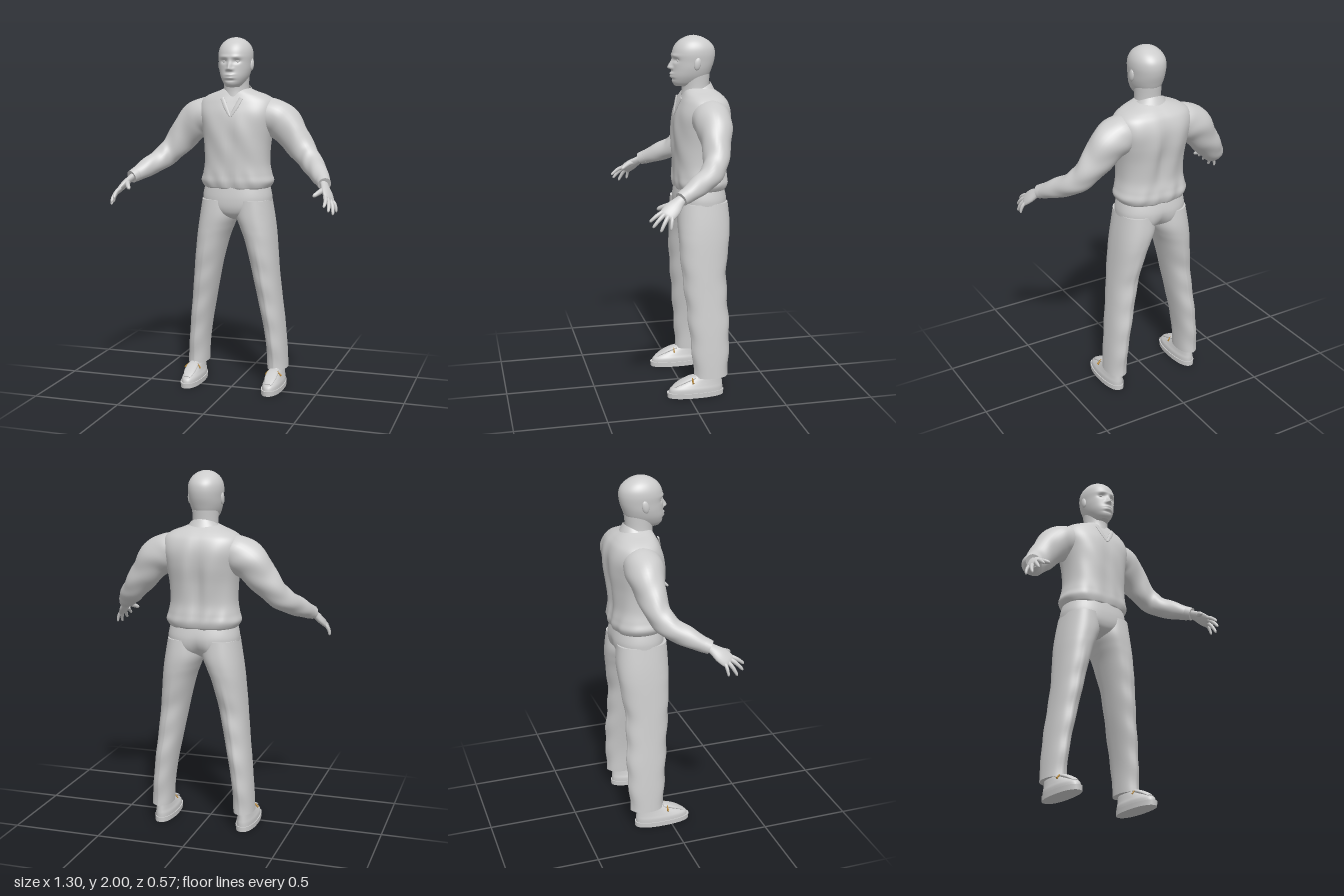
import * as THREE from 'three';

const grey = new THREE.MeshStandardMaterial({ color: 0xcccccc });
grey.name = 'plain grey';
grey.side = THREE.DoubleSide;
const gold = new THREE.MeshStandardMaterial({ color: 0xb0802a });
gold.name = 'buckle gold';

const V = (x, y, z) => new THREE.Vector3(x, y, z);
const gauss = (d, w) => Math.exp(-((d / w) ** 2));

// Smooth curve through the rows of a table, column by column
function sample(rows, t) {
  const f = t * (rows.length - 1), i = Math.min(Math.floor(f), rows.length - 2), u = f - i;
  const at = k => rows[Math.max(0, Math.min(rows.length - 1, k))];
  return rows[0].map((_, c) => {
    const [a, b, d, e] = [at(i - 1)[c], at(i)[c], at(i + 1)[c], at(i + 2)[c]];
    return b + 0.5 * u * (d - a + u * (2 * a - 5 * b + 4 * d - e + u * (3 * (b - d) + e - a)));
  });
}

// Skin over closed rings of points, with flat caps
function skin(rings) {
  const n = rings[0].length, pos = [], idx = [];
  rings.forEach(r => r.forEach(p => pos.push(p.x, p.y, p.z)));
  for (let i = 0; i < rings.length - 1; i++) for (let j = 0; j < n; j++) {
    const a = i * n + j, b = i * n + (j + 1) % n;
    idx.push(a, a + n, b, b, a + n, b + n);
  }
  [rings[0], rings[rings.length - 1]].forEach((ring, end) => {
    const s = pos.length / 3, c = V(0, 0, 0);
    ring.forEach(p => { pos.push(p.x, p.y, p.z); c.addScaledVector(p, 1 / n); });
    pos.push(c.x, c.y, c.z);
    for (let j = 0; j < n; j++) {
      const k = (j + 1) % n;
      idx.push(s + n, s + (end ? k : j), s + (end ? j : k));
    }
  });
  const g = new THREE.BufferGeometry();
  g.setAttribute('position', new THREE.Float32BufferAttribute(pos, 3));
  g.setIndex(idx);
  g.computeVertexNormals();
  return g;
}

// Upright loft, rows from bottom to top: y, x min, x max, z front, z back
function loft(rows, { p = 2.3, steps = 40, segs = 48, shape } = {}) {
  const rings = [];
  for (let i = 0; i <= steps; i++) {
    const [y, x0, x1, zf, zb] = sample(rows, i / steps), ring = [];
    for (let j = 0; j < segs; j++) {
      const a = (j / segs) * Math.PI * 2, c = Math.cos(a), s = Math.sin(a);
      const q = V((x0 + x1) / 2 + (x1 - x0) / 2 * Math.sign(c) * Math.abs(c) ** (2 / p), y,
        (zf + zb) / 2 + (zf - zb) / 2 * Math.sign(s) * Math.abs(s) ** (2 / p));
      if (shape) shape(q, s, (x0 + x1) / 2);
      ring.push(q);
    }
    rings.push(ring);
  }
  return skin(rings);
}

// Limb, rows along its path: x, y, z, radius along side, radius across
function limb(rows, side = V(0, 0, 1), steps = 24, segs = 20, fold = 0) {
  const rings = [];
  for (let i = 0; i <= steps; i++) {
    const t = i / steps, r = sample(rows, t), e = 0.01;
    const a = sample(rows, Math.max(0, t - e)), b = sample(rows, Math.min(1, t + e));
    const tan = V(b[0] - a[0], b[1] - a[1], b[2] - a[2]).normalize();
    const s = side.clone().addScaledVector(tan, -side.dot(tan)).normalize(), n = s.clone().cross(tan);
    rings.push(Array.from({ length: segs }, (_, j) => {
      const g = (j / segs) * Math.PI * 2, w = 1 + fold * Math.sin(t * 34 + 2 * Math.sin(g * 2)) * Math.sin(t * Math.PI);
      return V(r[0], r[1], r[2]).addScaledVector(s, Math.cos(g) * r[3] * w).addScaledVector(n, Math.sin(g) * r[4] * w);
    }));
  }
  return skin(rings);
}

function mirrored(geo) {
  const g = geo.clone(), ix = g.index.array;
  const p = g.attributes.position;
  for (let i = 0; i < p.count; i++) p.setX(i, -p.getX(i));
  for (let i = 0; i < ix.length; i += 3) [ix[i], ix[i + 1]] = [ix[i + 1], ix[i]];
  g.computeVertexNormals();
  return g;
}

export function createModel() {
  const model = new THREE.Group();
  const add = (name, geo, mat = grey) => {
    const m = new THREE.Mesh(geo, mat);
    m.name = name;
    model.add(m);
  };
  const pair = (name, geo, mat) => {
    add('left' + name, geo, mat);
    add('right' + name, mirrored(geo), mat);
  };
  const even = rows => rows.map(([y, w, f, b]) => [y, -w, w, f, b]);

  // Head with modelled brow, eye sockets, nose, lips and chin
  add('head', loft(even([[1.725, 0.035, 0.018, -0.1], [1.745, 0.055, 0.034, -0.14], [1.78, 0.075, 0.04, -0.168],
    [1.82, 0.087, 0.037, -0.185], [1.86, 0.092, 0.036, -0.198], [1.9, 0.095, 0.036, -0.203], [1.935, 0.09, 0.026, -0.196],
    [1.965, 0.074, 0.004, -0.172], [1.987, 0.048, -0.03, -0.136], [1.997, 0.022, -0.06, -0.105], [2, 0.002, -0.082, -0.086]]),
  { p: 2.1, steps: 84, segs: 96, shape: (q, s) => {
    if (s < 0.2) return;
    const x = Math.abs(q.x), { y } = q;
    const ridge = y > 1.826 ? gauss(y - 1.826, 0.034) : gauss(y - 1.826, 0.009);
    q.z += 0.026 * gauss(x, 0.011) * ridge + 0.009 * gauss(x - 0.015, 0.009) * gauss(y - 1.824, 0.009);
    q.z -= 0.014 * gauss(x - 0.037, 0.02) * gauss(y - 1.868, 0.012);
    q.z += 0.005 * gauss(x - 0.033, 0.03) * gauss(y - 1.892, 0.009);
    q.z += 0.011 * gauss(x, 0.024) * (gauss(y - 1.793, 0.007) + 0.9 * gauss(y - 1.777, 0.007));
    q.z -= 0.005 * gauss(x, 0.03) * gauss(y - 1.763, 0.006);
  } }));
  pair('Eye', new THREE.SphereGeometry(0.011, 16, 12).scale(1.2, 0.6, 0.7).translate(0.037, 1.867, 0.012));
  pair('Ear', new THREE.SphereGeometry(1, 16, 12).scale(0.011, 0.034, 0.02).rotateX(-0.2).translate(0.092, 1.85, -0.085));
  add('neck', loft(even([[1.58, 0.08, -0.005, -0.19], [1.66, 0.075, -0.015, -0.18], [1.72, 0.07, -0.02, -0.17],
    [1.79, 0.072, -0.01, -0.175]]), { p: 2 }));

  // Shirt body with spine groove, soft folds and a gathered hem
  add('shirtBody', loft(even([[1.155, 0.183, 0.018, -0.25], [1.165, 0.195, 0.024, -0.26], [1.195, 0.209, 0.03, -0.268],
    [1.235, 0.198, 0.03, -0.264], [1.3, 0.187, 0.03, -0.258], [1.4, 0.19, 0.034, -0.268], [1.5, 0.205, 0.034, -0.284],
    [1.58, 0.224, 0.022, -0.284], [1.64, 0.215, 0, -0.266], [1.675, 0.175, -0.016, -0.238], [1.7, 0.11, -0.028, -0.205],
    [1.715, 0.075, -0.04, -0.18]]), { p: 2.4, steps: 80, segs: 80, shape: (q, s) => {
    const mid = gauss(q.y - 1.42, 0.2), low = gauss(q.y - 1.19, 0.07);
    if (s < 0) q.z += Math.abs(s) * mid * (0.016 * gauss(q.x, 0.035) + 0.005 * Math.cos(q.x * 45 + q.y * 9));
    else q.z += s * (0.003 * mid * Math.sin(q.x * 40 + q.y * 25) - 0.006 * gauss(q.x, 0.03) * mid);
    q.z += s * low * 0.004 * Math.sin(q.x * 70 + q.y * 20);
  } }));

  // Folded collar, open at the front
  const collar = new THREE.PlaneGeometry(1, 1, 48, 6), cp = collar.attributes.position;
  for (let i = 0; i < cp.count; i++) {
    const a = cp.getX(i) * 2 * 2.78, v = 0.5 - cp.getY(i), front = (1 - Math.cos(a)) / 2;
    const tip = front ** 4, r = v < 0.2 ? 0 : (v - 0.2) / 0.8;
    cp.setXYZ(i, Math.sin(a) * (0.08 + 0.04 * r + 0.1 * tip * r),
      1.745 - 0.075 * front - (0.05 + 0.015 * front) * r,
      -0.1 - Math.cos(a) * (0.08 + 0.024 * r) + 0.008 * tip);
  }
  collar.computeVertexNormals();
  add('collar', collar);

  // Open neckline edges running down to the V
  pair('NeckPlacket', limb([[0.055, 1.665, -0.002, 0.004, 0.012], [0.03, 1.615, 0.014, 0.004, 0.012],
    [0.002, 1.565, 0.027, 0.003, 0.006]], V(0, 0.3, 1), 10, 10));

  // Sleeves and cuffs
  pair('Sleeve', limb([[0.1, 1.59, -0.13, 0.085, 0.075], [0.19, 1.565, -0.135, 0.105, 0.1], [0.265, 1.52, -0.138, 0.096, 0.103],
    [0.335, 1.435, -0.13, 0.077, 0.086], [0.4, 1.355, -0.108, 0.066, 0.071], [0.45, 1.305, -0.065, 0.06, 0.062],
    [0.5, 1.265, 0.01, 0.053, 0.054], [0.54, 1.232, 0.075, 0.042, 0.042], [0.557, 1.22, 0.105, 0.035, 0.035]],
  V(0, 0, 1), 64, 32, 0.035));
  pair('Cuff', limb([[0.543, 1.23, 0.083, 0.041, 0.041], [0.56, 1.217, 0.112, 0.038, 0.036]], V(-0.38, 0.34, 0.86), 3, 24));

  // Hands: palm, four fingers and thumb
  const across = V(-0.45, 0.45, 0.77);
  pair('Palm', limb([[0.55, 1.225, 0.095, 0.026, 0.02], [0.565, 1.205, 0.125, 0.03, 0.019], [0.585, 1.178, 0.16, 0.043, 0.019],
    [0.603, 1.15, 0.193, 0.042, 0.014], [0.609, 1.14, 0.203, 0.034, 0.006]], across, 16, 20));
  const fingers = [
    ['IndexFinger', [0.587, 1.162, 0.216], [0.595, 1.115, 0.285]],
    ['MiddleFinger', [0.597, 1.154, 0.206], [0.617, 1.09, 0.272]],
    ['RingFinger', [0.608, 1.145, 0.19], [0.634, 1.07, 0.235]],
    ['LittleFinger', [0.615, 1.14, 0.172], [0.642, 1.078, 0.183]],
    ['Thumb', [0.57, 1.195, 0.15], [0.525, 1.163, 0.232]],
  ];
  fingers.forEach(([name, a, b], i) => {
    const r = i === 4 ? 0.014 : i === 3 ? 0.009 : 0.0105;
    const rows = [0, 0.35, 0.7, 0.92, 1].map((t, k) => [a[0] + (b[0] - a[0]) * t + 0.006 * Math.sin(t * Math.PI),
      a[1] + (b[1] - a[1]) * t + 0.006 * Math.sin(t * Math.PI), a[2] + (b[2] - a[2]) * t,
      ...Array(2).fill(r * [1.1, 1.05, 0.9, 0.7, 0.15][k])]);
    pair(name, limb(rows, across, 12, 12));
  });

  // Trousers: hips, then legs with a pressed crease front and back
  add('trouserHips', loft(even([[0.975, 0.03, -0.06, -0.16], [1.0, 0.1, 0, -0.22], [1.04, 0.185, 0.024, -0.255],
    [1.1, 0.2, 0.028, -0.264], [1.175, 0.185, 0.018, -0.248]]), { shape: (q, s) => {
    if (s < 0) q.z += 0.035 * gauss(q.x, 0.03) * gauss(q.y - 1, 0.07);
  } }));
  pair('TrouserLeg', loft([[0.108, 0.185, 0.3, -0.044, -0.222], [0.25, 0.178, 0.29, -0.034, -0.23], [0.4, 0.155, 0.276, -0.02, -0.234],
    [0.55, 0.125, 0.26, -0.006, -0.228], [0.7, 0.095, 0.246, 0.01, -0.228], [0.85, 0.058, 0.232, 0.024, -0.252],
    [0.93, 0.028, 0.223, 0.028, -0.262], [1.0, 0.002, 0.213, 0.029, -0.264], [1.09, 0.002, 0.198, 0.024, -0.255]],
  { steps: 56, segs: 64, shape: (q, s, cx) => {
    const fade = Math.min(1, Math.max(0, (0.92 - q.y) / 0.2));
    q.z += Math.sign(s) * (Math.abs(s) > 0.5 ? 1 : 0) * 0.009 * fade * Math.exp(-Math.abs(q.x - cx) / 0.013);
    q.z += s * 0.003 * Math.sin(q.y * 38 + q.x * 20) * fade;
  } }));

  // Loafers: sole, upper, raised apron and a thin metal bar
  pair('ShoeSole', loft([[0, 0.186, 0.3, 0.118, -0.205], [0.028, 0.185, 0.301, 0.12, -0.206]], { p: 2.3, steps: 2 }));
  pair('ShoeUpper', loft([[0.025, 0.19, 0.296, 0.11, -0.2], [0.048, 0.191, 0.295, 0.103, -0.2], [0.066, 0.197, 0.29, 0.075, -0.198],
    [0.085, 0.202, 0.285, 0.03, -0.196], [0.103, 0.206, 0.281, -0.008, -0.194], [0.125, 0.212, 0.275, -0.045, -0.19]],
  { p: 2.3, steps: 20 }));
  pair('ShoeApron', limb([[0.243, 0.058, 0.085, 0.02, 0.006], [0.243, 0.08, 0.045, 0.033, 0.009],
    [0.243, 0.1, -0.005, 0.034, 0.012], [0.243, 0.11, -0.04, 0.03, 0.01]], V(1, 0, 0), 12, 16));
  pair('ShoeBar', limb([[0.198, 0.086, -0.02, 0.004, 0.004], [0.22, 0.109, -0.02, 0.004, 0.004],
    [0.266, 0.109, -0.02, 0.004, 0.004], [0.292, 0.086, -0.02, 0.006, 0.006]], V(0, 0, 1), 16, 8), gold);

  return model;
}
